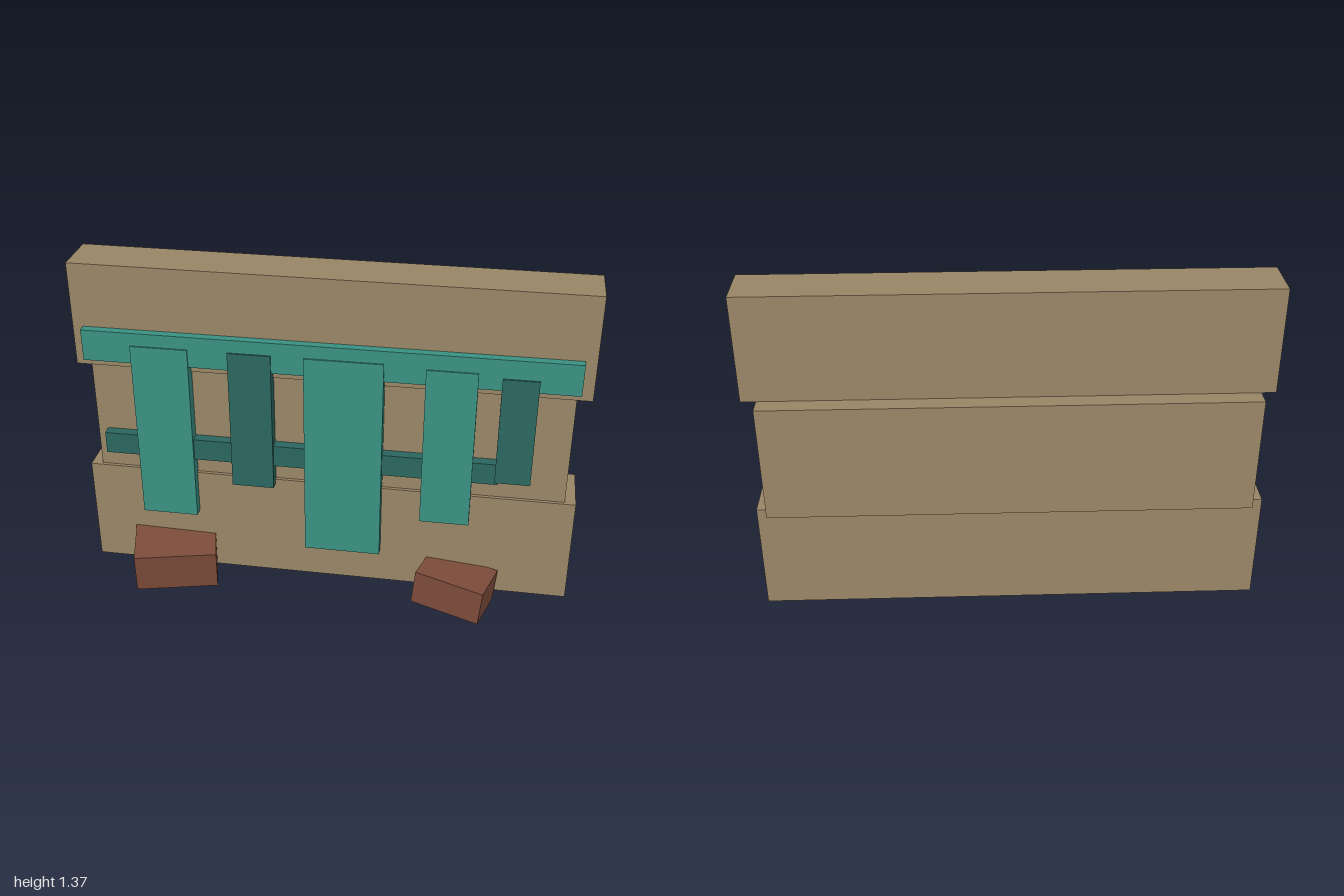
import * as THREE from 'three';

const mat = (name, color) => {
  const m = new THREE.MeshStandardMaterial({ color });
  m.name = name;
  return m;
};

export function createModel() {
  const group = new THREE.Group();
  const stone = mat('tan stone', 0x9b8768);
  const teal = mat('teal', 0x3a9384);
  const darkTeal = mat('dark teal', 0x2b6860);
  const brick = mat('brick red', 0x7d4c3a);

  // Box given by its limits on each axis
  const slab = (name, material, [x0, x1], [y0, y1], [z0, z1]) => {
    const mesh = new THREE.Mesh(new THREE.BoxGeometry(x1 - x0, y1 - y0, z1 - z0), material);
    mesh.position.set((x0 + x1) / 2, (y0 + y1) / 2, (z0 + z1) / 2);
    mesh.name = name;
    group.add(mesh);
  };

  // Wall courses
  slab('topCourse', stone, [-1, 1], [0.95, 1.372], [-0.17, 0.03]);
  slab('middleCourse', stone, [-0.945, 0.942], [0.475, 0.95], [-0.24, 0.016]);
  slab('bottomCourse', stone, [-0.99, 0.985], [0.037, 0.487], [-0.2, 0.03]);

  // Horizontal rails
  slab('upperRail', teal, [-0.958, 0.955], [0.985, 1.113], [0.02, 0.065]);
  slab('lowerRail', darkTeal, [-0.905, 0.675], [0.567, 0.658], [0.012, 0.058]);

  // Hanging slats: left, right, bottom, top, material
  [
    [-0.765, -0.538, 0.305, 1.06, teal],
    [-0.382, -0.213, 0.47, 1.06, darkTeal],
    [-0.087, 0.22, 0.192, 1.06, teal],
    [0.378, 0.574, 0.374, 1.05, teal],
    [0.662, 0.8, 0.583, 1.035, darkTeal],
  ].forEach(([x0, x1, y0, y1, m], i) => {
    slab('slat' + (i + 1), m, [x0, x1], [y0, y1], [m === teal ? 0.02 : 0.015, 0.071]);
  });

  // Loose bricks tilted against the foot of the wall
  const addBrick = (name, size, position, [pitch, yaw, roll]) => {
    const mesh = new THREE.Mesh(new THREE.BoxGeometry(...size), brick);
    mesh.position.set(...position);
    mesh.rotation.set(pitch, yaw, roll, 'YXZ');
    mesh.name = name;
    group.add(mesh);
  };
  addBrick('rightBrick', [0.335, 0.17, 0.23], [-0.635, 0.105, 0.084], [0.09, 0.24, 0]);
  addBrick('leftBrick', [0.287, 0.145, 0.195], [0.535, 0.091, 0.1], [-0.06, -0.27, -0.08]);

  return group;
}
